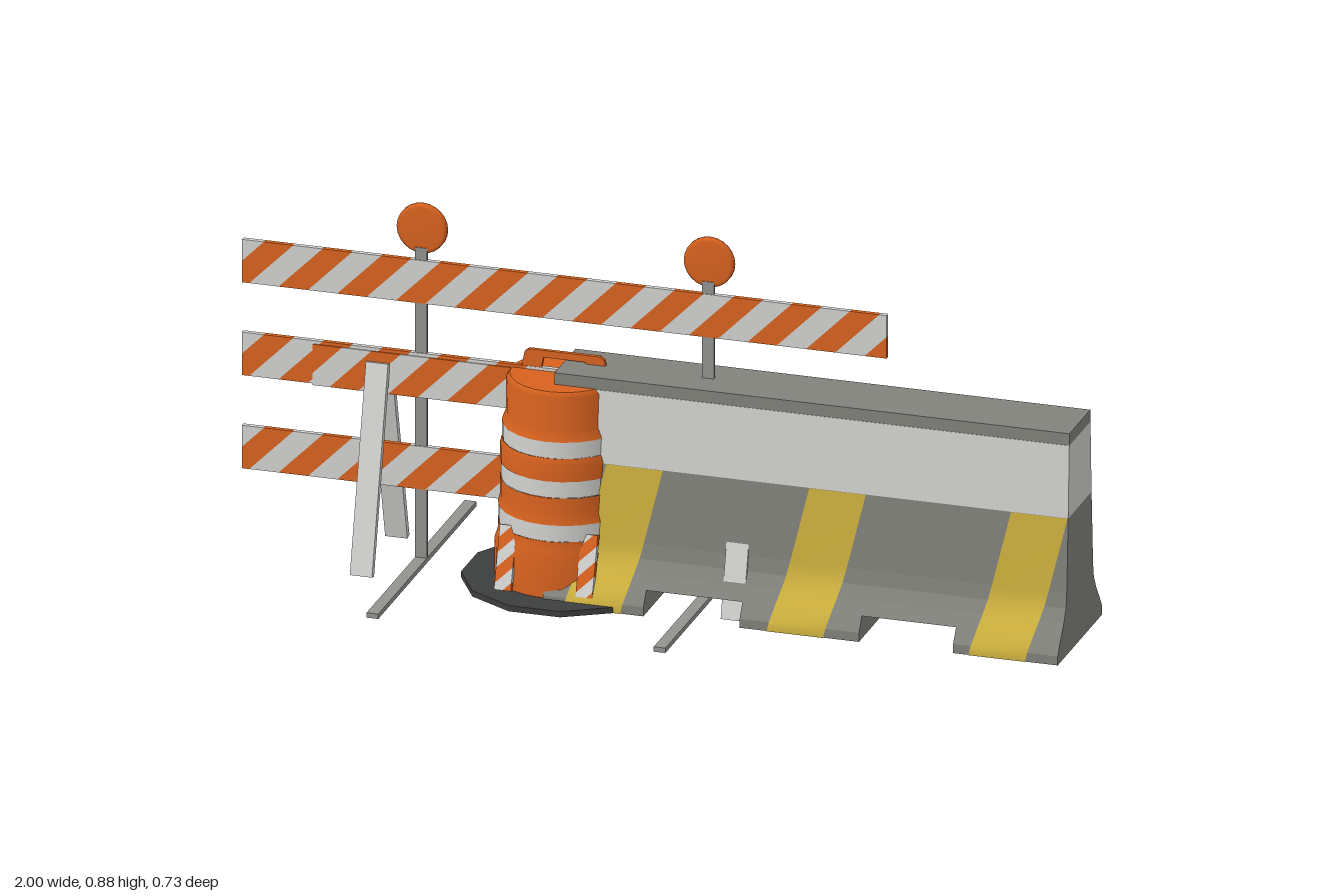
import * as THREE from 'three';

const mat = (name, color, side = THREE.FrontSide) => {
  const m = new THREE.MeshStandardMaterial({ color, side });
  m.name = name;
  return m;
};

export function createModel() {
  const orange = mat('safety orange', 0xd8621f, THREE.DoubleSide);
  const white = mat('reflective white', 0xd2d2d0, THREE.DoubleSide);
  const concrete = mat('concrete grey', 0x81827b);
  const yellow = mat('stripe yellow', 0xcdb03e, THREE.DoubleSide);
  const rubber = mat('black rubber', 0x3c3d3d);
  const steel = mat('steel grey', 0x92938f);

  const model = new THREE.Group();
  model.name = 'roadworkBarriers';
  const CX = -0.23; // shared middle of barricade, sawhorse and drum

  const add = (parent, name, geo, material, x = 0, y = 0, z = 0) => {
    const m = new THREE.Mesh(geo, material);
    m.name = name;
    m.position.set(x, y, z);
    parent.add(m);
    return m;
  };
  const group = (name, x = 0) => {
    const g = new THREE.Group();
    g.name = name;
    g.position.x = x;
    model.add(g);
    return g;
  };
  const box = (w, h, d) => new THREE.BoxGeometry(w, h, d);
  const polyPrism = (pts, depth) => {
    const shape = new THREE.Shape(pts.map(p => new THREE.Vector2(p[0], p[1])));
    return new THREE.ExtrudeGeometry(shape, { depth, bevelEnabled: false }).translate(0, 0, -depth / 2);
  };

  // Keep the part of a polygon on one side of a vertical line
  const clipX = (pts, limit, sign) => {
    const out = [];
    pts.forEach((a, i) => {
      const b = pts[(i + 1) % pts.length];
      const da = sign * (a[0] - limit), db = sign * (b[0] - limit);
      if (da >= 0) out.push(a);
      if (da * db < 0) {
        const t = da / (da - db);
        out.push([a[0] + (b[0] - a[0]) * t, a[1] + (b[1] - a[1]) * t]);
      }
    });
    return out;
  };

  // Board made of alternating slanted prisms
  const stripedBoard = (parent, name, x0, x1, y0, h, depth, phase, w = 0.07) => {
    const board = new THREE.Group();
    board.name = name;
    parent.add(board);
    const first = Math.floor((x0 - h - phase) / w) - 1;
    for (let i = first; phase + i * w < x1; i++) {
      const a = phase + i * w;
      let pts = [[a, y0], [a + w, y0], [a + w + h, y0 + h], [a + h, y0 + h]];
      pts = clipX(clipX(pts, x0, 1), x1, -1);
      if (pts.length < 3) continue;
      const isOrange = i % 2 === 0;
      add(board, isOrange ? 'orangeStripe' : 'whiteStripe', polyPrism(pts, depth), isOrange ? orange : white);
    }
  };

  // Tall barricade with three boards, two posts, feet and lamps
  const barricade = group('tallBarricade', CX);
  for (const y of [0.635, 0.408, 0.18]) {
    stripedBoard(barricade, 'barricadeBoard', -0.77, 0.77, y, 0.105, 0.012, 0.7175);
  }
  const lampProfile = [[0, -0.009], [0.052, -0.009], [0.06, -0.005], [0.06, 0.005], [0.052, 0.009], [0, 0.009]]
    .map(p => new THREE.Vector2(p[0], p[1]));
  for (const x of [-0.343, 0.343]) {
    add(barricade, 'post', box(0.028, 0.77, 0.008), steel, x, 0.385, 0);
    add(barricade, 'foot', box(0.028, 0.012, 0.73), steel, x, 0.006, 0);
    add(barricade, 'warningLamp', new THREE.LatheGeometry(lampProfile, 24).rotateX(Math.PI / 2), orange, x, 0.815, -0.007);
  }

  // Low sawhorse with splayed legs
  const sawhorse = group('sawhorse', CX);
  stripedBoard(sawhorse, 'sawhorseBoard', -0.6, 0.6, 0.405, 0.1, 0.018, 0);
  const lean = Math.atan2(0.12, 0.48);
  for (const x of [-0.443, 0.443]) for (const s of [-1, 1]) {
    add(sawhorse, 'sawhorseLeg', box(0.053, 0.492, 0.016), white, x, 0.242, s * 0.072).rotation.x = -s * lean;
  }

  // Drum with banded shell and carrying handle
  const drum = group('trafficDrum', CX);
  const bands = [
    [orange, [[0.16, 0.01], [0.161, 0.1], [0.153, 0.125], [0.153, 0.15]]],
    [white, [[0.152, 0.15], [0.152, 0.19]]],
    [orange, [[0.153, 0.19], [0.148, 0.21], [0.148, 0.255]]],
    [white, [[0.146, 0.255], [0.146, 0.295]]],
    [orange, [[0.148, 0.295], [0.148, 0.335], [0.144, 0.35]]],
    [white, [[0.143, 0.35], [0.143, 0.39]]],
    [orange, [[0.144, 0.39], [0.135, 0.415], [0.134, 0.495], [0.126, 0.506]]],
    [orange, [[0.126, 0.506], [0, 0.506]]],
  ];
  for (const [m, pts] of bands) {
    add(drum, 'drumBand', new THREE.LatheGeometry(pts.map(p => new THREE.Vector2(p[0], p[1])), 24), m);
  }
  const handle = new THREE.Shape([[-0.105, 0.5], [-0.095, 0.548], [-0.085, 0.555], [0.085, 0.555], [0.095, 0.548], [0.105, 0.5]]
    .map(p => new THREE.Vector2(p[0], p[1])));
  handle.holes.push(new THREE.Path([[-0.055, 0.512], [0.055, 0.512], [0.05, 0.538], [-0.05, 0.538]]
    .map(p => new THREE.Vector2(p[0], p[1]))));
  add(drum, 'drumHandle', new THREE.ExtrudeGeometry(handle, { depth: 0.01, bevelEnabled: false }), orange, 0, 0, -0.005);

  // Twelve-sided rubber ring around the drum foot
  const ring = new THREE.Shape(Array.from({ length: 12 }, (_, i) => {
    const a = (i + 0.5) * Math.PI / 6;
    return new THREE.Vector2(Math.cos(a) * 0.237, Math.sin(a) * 0.237);
  }));
  ring.holes.push(new THREE.Path().absarc(0, 0, 0.155, 0, Math.PI * 2, true));
  add(drum, 'drumBase', new THREE.ExtrudeGeometry(ring, { depth: 0.014, bevelEnabled: false }).rotateX(-Math.PI / 2), rubber);

  // Cone standing under the drum
  const cone = group('trafficCone', CX);
  const plate = new THREE.Shape([[-0.09, -0.09], [0.09, -0.09], [0.09, 0.09], [-0.09, 0.09]]
    .map(p => new THREE.Vector2(p[0], p[1])));
  plate.holes.push(new THREE.Path().absarc(0, 0, 0.065, 0, Math.PI * 2, true));
  add(cone, 'coneBase', new THREE.ExtrudeGeometry(plate, { depth: 0.015, bevelEnabled: false }).rotateX(-Math.PI / 2), orange);
  add(cone, 'coneBody', new THREE.CylinderGeometry(0.015, 0.065, 0.35, 20, 1, true), orange, 0, 0.19, 0);

  // Small striped panels leaning out at the drum sides
  const panels = group('leaningPanels', CX);
  for (const x of [-1, 1]) for (const s of [-1, 1]) {
    const leg = new THREE.Group();
    leg.name = 'leaningPanel';
    leg.position.set(x * 0.097, 0.092, s * 0.136);
    leg.rotation.x = -s * 0.3;
    panels.add(leg);
    stripedBoard(leg, 'panelStripes', -0.02, 0.02, -0.075, 0.15, 0.014, 0, 0.035);
  }

  // Concrete barrier, cut from one symmetric profile
  const barrier = group('concreteBarrier');
  const profile = [[0, 0.165], [0.022, 0.165], [0.055, 0.143], [0.085, 0.121], [0.115, 0.104], [0.15, 0.098], [0.33, 0.087], [0.505, 0.079]];
  const section = (name, y0, y1, x0, x1, material) => {
    const side = profile.filter(p => p[0] >= y0 && p[0] <= y1);
    const pts = side.map(p => [p[1], p[0]]).concat(side.map(p => [-p[1], p[0]]).reverse());
    const geo = polyPrism(pts, x1 - x0).rotateY(Math.PI / 2);
    add(barrier, name, geo, material, (x0 + x1) / 2);
  };
  for (const [a, b] of [[CX, 0.01], [0.24, 0.525], [0.75, 1]]) section('barrierFoot', 0, 0.055, a, b, concrete);
  section('barrierLower', 0.055, 0.33, CX, 1, concrete);
  section('barrierUpper', 0.33, 0.505, CX, 1, white);
  add(barrier, 'barrierCap', box(1 - CX, 0.029, 0.156), concrete, (1 + CX) / 2, 0.5195, 0);

  // Slanted paint stripes following both barrier faces
  const paintStripe = (x, s) => {
    const pos = [], index = [];
    profile.filter(p => p[0] <= 0.33).forEach(([y, z], i) => {
      const shift = x + y / 0.33 * 0.077;
      pos.push(shift, y, s * (z + 0.002), shift + 0.135, y, s * (z + 0.002));
      const k = i * 2 - 2;
      if (i && s > 0) index.push(k, k + 1, k + 3, k, k + 3, k + 2);
      if (i && s < 0) index.push(k, k + 3, k + 1, k, k + 2, k + 3);
    });
    const geo = new THREE.BufferGeometry();
    geo.setAttribute('position', new THREE.Float32BufferAttribute(pos, 3));
    geo.setIndex(index);
    geo.computeVertexNormals();
    return geo;
  };
  for (const x of [-0.18, 0.305, 0.787]) for (const s of [-1, 1]) add(barrier, 'yellowStripe', paintStripe(x, s), yellow);

  return model;
}
